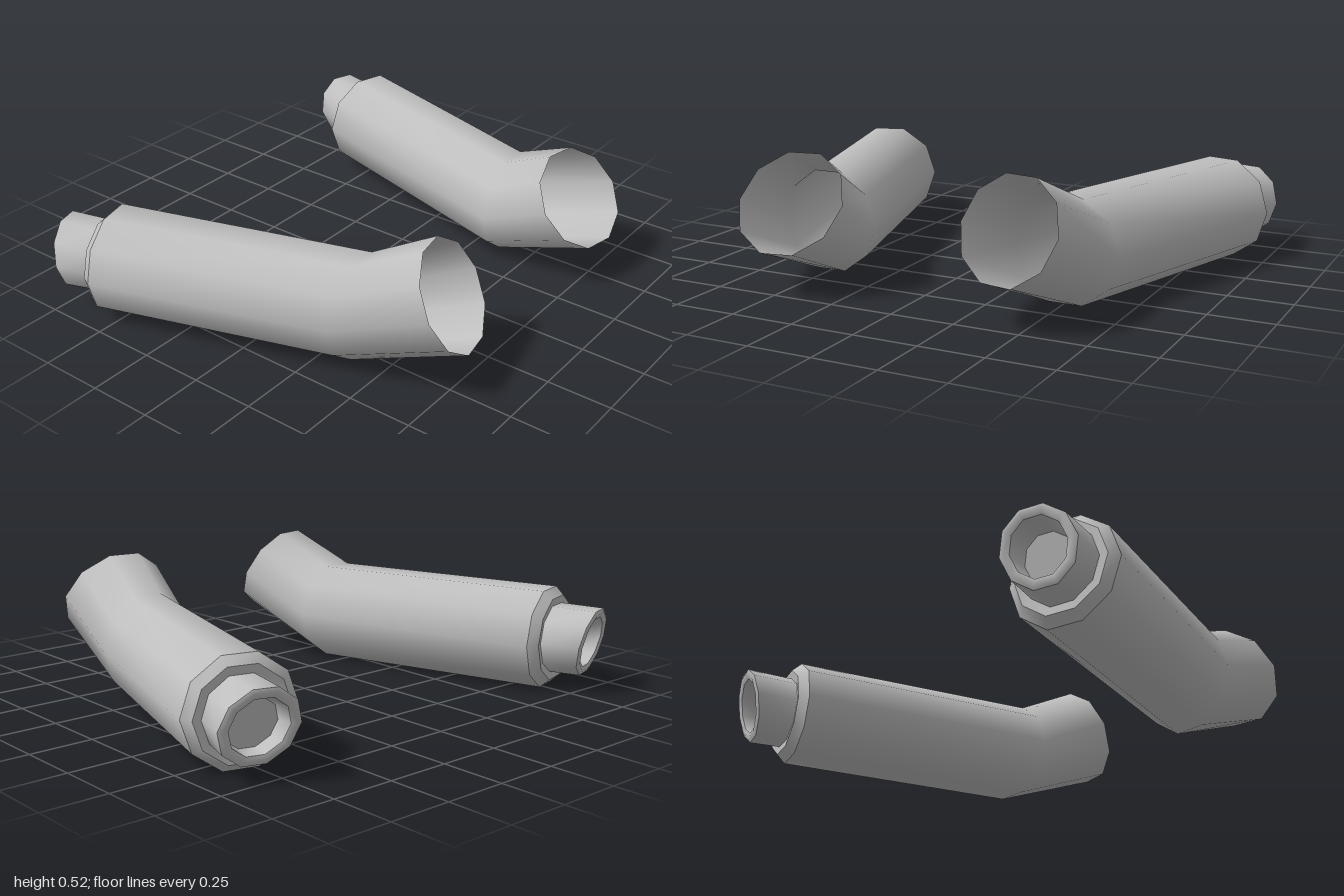
import * as THREE from 'three';

const SIDES = 10;

// One cross-section: centre c plus half-axes u (sideways) and v (upwards)
const section = (c, u, v) => ({ c, u, v });

// Scale a section and slide it along the wrist direction
const shift = (s, scale, along) => ({
  c: [s.c[0] + 0.28 * along, s.c[1] + 0.1 * along, s.c[2] - 0.95 * along],
  u: s.u.map(n => n * scale),
  v: s.v.map(n => n * scale),
});

// Skin a run of sections; side = -1 mirrors to the other arm
function loft(sections, side, closed = false) {
  const pos = [], idx = [];
  for (const { c, u, v } of sections) {
    for (let i = 0; i < SIDES; i++) {
      const a = (i / SIDES) * Math.PI * 2;
      const p = [0, 1, 2].map(k => c[k] + u[k] * Math.cos(a) + v[k] * Math.sin(a));
      pos.push(p[0] * side, p[1], p[2]);
    }
  }
  const tri = (a, b, c) => (side > 0 ? idx.push(a, b, c) : idx.push(a, c, b));
  for (let r = 0; r < sections.length - 1; r++) {
    for (let i = 0; i < SIDES; i++) {
      const j = (i + 1) % SIDES;
      const a = r * SIDES + i, b = r * SIDES + j;
      tri(a, a + SIDES, b);
      tri(b, a + SIDES, b + SIDES);
    }
  }
  // Flat disc over the last section
  if (closed) {
    const base = (sections.length - 1) * SIDES;
    for (let i = 1; i < SIDES - 1; i++) tri(base, base + i + 1, base + i);
  }
  const g = new THREE.BufferGeometry();
  g.setAttribute('position', new THREE.Float32BufferAttribute(pos, 3));
  g.setIndex(idx);
  g.computeVertexNormals();
  return g;
}

export function createModel() {
  const grey = new THREE.MeshStandardMaterial({ color: 0xbfbfbf, side: THREE.DoubleSide });
  grey.name = 'light grey';

  // Sections from the open front end to the wrist
  const opening = section([0.442, 0.35, 0.712], [0.2, 0, 0.038], [0, 0.178, -0.105]);
  const elbow = section([0.505, 0.198, 0.36], [0.205, 0, 0], [0, 0.208, 0]);
  const cuff = section([0.795, 0.198, -0.593], [0.205, 0, 0.0575], [0, 0.208, 0]);
  const bevel = section([0.808, 0.198, -0.625], [0.172, 0, 0.048], [0, 0.175, 0]);
  const wrist = section([0.81, 0.198, -0.62], [0.14, 0, 0.035], [0, 0.142, 0]);
  const end = section([0.853, 0.198, -0.765], [0.138, 0, 0.043], [0, 0.142, -0.034]);
  const rim = shift(end, 0.88, 0.008);
  const lip = shift(end, 0.74, 0);
  const floor = shift(end, 0.66, -0.08);

  const parts = [
    ['sleeve', [opening, elbow, cuff]],
    ['cuffBevel', [cuff, bevel]],
    ['cuffFace', [bevel, wrist]],
    ['wristTube', [wrist, end]],
    ['wristRim', [end, rim, lip]],
    ['wristRecess', [lip, floor]],
    ['recessFloor', [floor], true],
  ];

  const model = new THREE.Group();
  model.name = 'armPair';
  for (const side of [1, -1]) {
    const arm = new THREE.Group();
    arm.name = side > 0 ? 'leftArm' : 'rightArm';
    for (const [name, sections, closed] of parts) {
      const mesh = new THREE.Mesh(loft(sections, side, closed), grey);
      mesh.name = name;
      arm.add(mesh);
    }
    model.add(arm);
  }
  return model;
}
